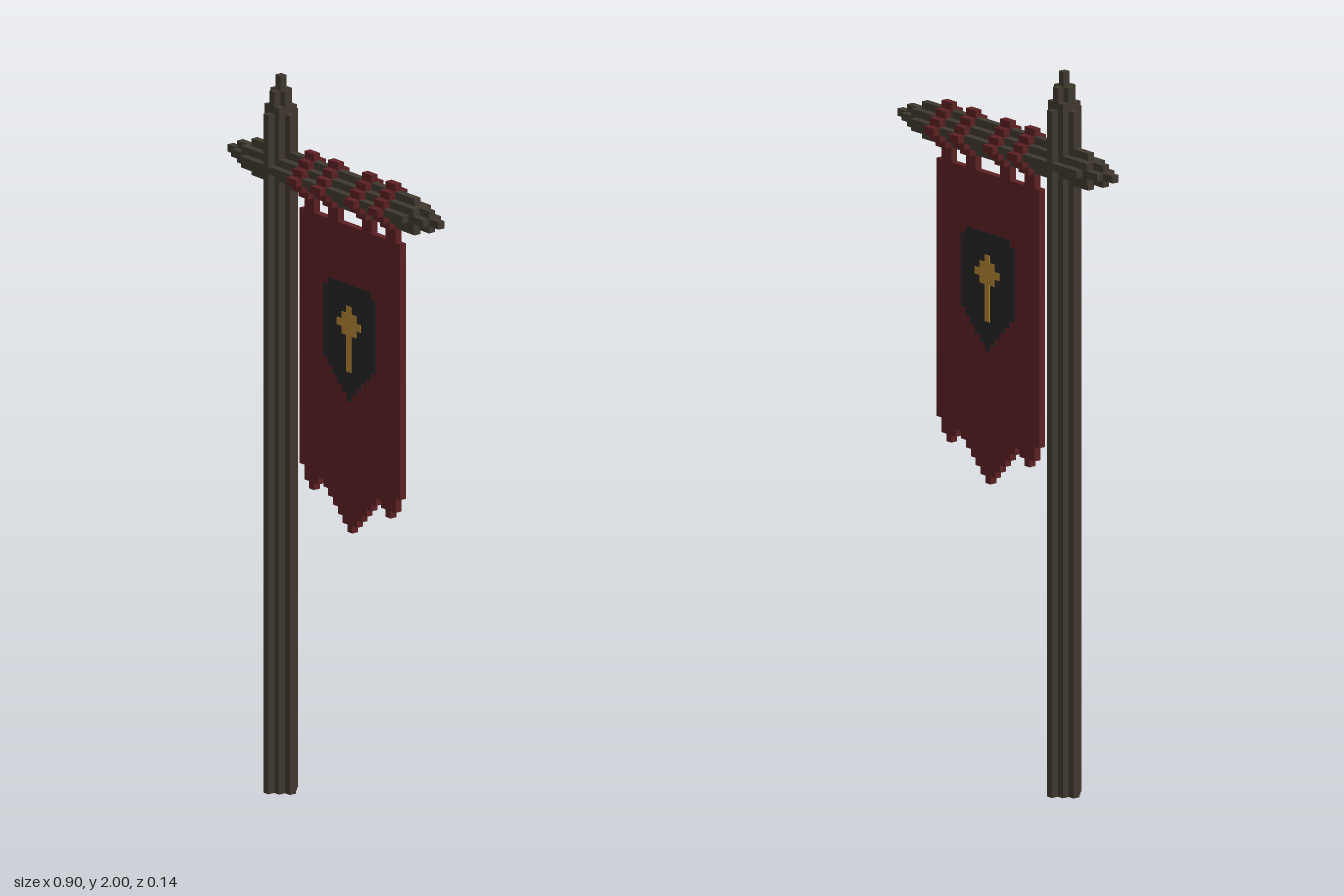
import * as THREE from 'three';

const V = 2 / 98; // size of one block

const mat = (name, color) => {
  const m = new THREE.MeshStandardMaterial({ color });
  m.name = name;
  return m;
};

// Stepped outline made of one-block columns, each from bottoms[i] to tops[i]
function columnShape(x0, bottoms, tops) {
  const pts = [];
  const add = (x, y) => {
    const last = pts[pts.length - 1];
    if (!last || last.x !== x * V || last.y !== y * V) pts.push(new THREE.Vector2(x * V, y * V));
  };
  bottoms.forEach((b, i) => { add(x0 + i, b); add(x0 + i + 1, b); });
  for (let i = tops.length - 1; i >= 0; i--) { add(x0 + i + 1, tops[i]); add(x0 + i, tops[i]); }
  return new THREE.Shape(pts);
}

// Stepped round section, r blocks out from the centre block
function roundSection(r) {
  const tops = [];
  for (let i = -r; i <= r; i++) tops.push(r - Math.abs(i) + 0.5);
  return columnShape(-r - 0.5, tops.map((t) => -t), tops);
}

const squareSection = () => columnShape(-1.5, [-1.5, -1.5, -1.5], [1.5, 1.5, 1.5]);

// Extrude a section along z from block a to block b
function prism(shape, a, b) {
  const g = new THREE.ExtrudeGeometry(shape, { depth: (b - a) * V, bevelEnabled: false });
  return g.translate(0, 0, a * V);
}

export function createModel() {
  const wood = mat('dark wood', 0x3f382e);
  const cloth = mat('red cloth', 0x5c2022);
  const dark = mat('shield black', 0x242424);
  const gold = mat('gold', 0xb08030);

  const model = new THREE.Group();
  model.name = 'hangingBanner';
  const add = (parent, name, geometry, material) => {
    const mesh = new THREE.Mesh(geometry, material);
    mesh.name = name;
    parent.add(mesh);
    return mesh;
  };

  // Upright pole with a stepped point
  const pole = new THREE.Group();
  pole.name = 'pole';
  pole.rotation.x = -Math.PI / 2;
  pole.position.x = -11.5 * V;
  add(pole, 'poleShaft', prism(roundSection(2), 0, 93), wood);
  add(pole, 'poleCollar', prism(squareSection(), 93, 94), wood);
  add(pole, 'poleNeck', prism(roundSection(1), 94, 96), wood);
  add(pole, 'poleTip', prism(roundSection(0), 96, 98), wood);
  model.add(pole);

  // Crossbeam, pointed at both ends
  const beam = new THREE.Group();
  beam.name = 'crossbeam';
  beam.rotation.y = Math.PI / 2;
  beam.position.y = 85.5 * V;
  add(beam, 'beamShaft', prism(roundSection(2), -17, 17), wood);
  for (const s of [-1, 1]) {
    const end = (name, shape, a, b) =>
      add(beam, name, prism(shape, Math.min(s * a, s * b), Math.max(s * a, s * b)), wood);
    end('beamCollar', squareSection(), 17, 18);
    end('beamNeck', roundSection(1), 18, 20);
    end('beamTip', roundSection(0), 20, 22);
  }
  model.add(beam);

  // Cloth straps around the beam, each with a short tab down to the banner
  for (const x of [-6, -1, 6, 11]) {
    const loop = add(model, 'strapLoop', prism(roundSection(3), x, x + 2), cloth);
    loop.rotation.y = Math.PI / 2;
    loop.position.y = 85.5 * V;
    const tab = add(model, 'strapTab', new THREE.BoxGeometry(2 * V, V, V), cloth);
    tab.position.set((x + 1) * V, 81.5 * V, 0);
  }

  // Banner with a ragged lower edge, mirrored about its middle column
  const half = [46, 44, 43, 44, 45, 44, 43, 42, 41, 40];
  const hem = [...half, 39, ...half.slice().reverse()];
  add(model, 'banner', prism(columnShape(-7, hem, hem.map(() => 81)), -0.5, 0.5), cloth);

  // Shield and gold emblem, showing on both faces
  const low = [], high = [];
  for (let i = -5; i <= 5; i++) {
    low.push(57 + Math.abs(i));
    high.push(Math.abs(i) === 5 ? 72 : 73);
  }
  add(model, 'shield', prism(columnShape(-2, low, high), -0.6, 0.6), dark);
  const emblem = columnShape(1, [67, 66, 61, 66, 67], [68, 69, 70, 69, 68]);
  add(model, 'emblem', prism(emblem, -0.7, 0.7), gold);

  return model;
}
